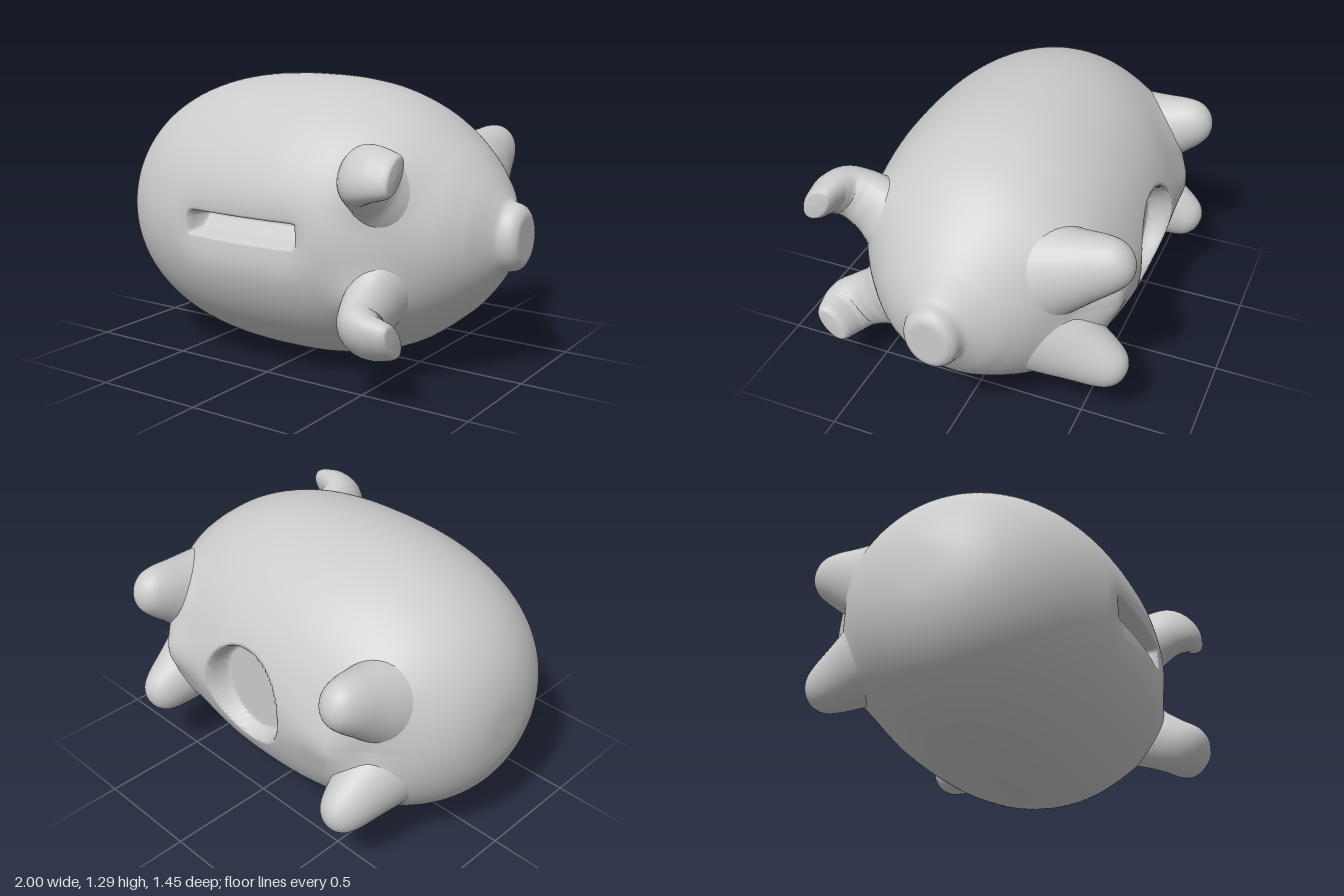
import * as THREE from 'three';
import { mergeVertices } from 'three/addons/utils/BufferGeometryUtils.js';

const MID = 0.645; // height of the body axis
const material = new THREE.MeshStandardMaterial({ color: 0xcccccc, roughness: 0.8 });
const step = THREE.MathUtils.smoothstep;
const band = (v, a, b, soft) => step(v, a - soft, a + soft) * (1 - step(v, b - soft, b + soft));

function smooth(geometry) {
  geometry.deleteAttribute('uv');
  geometry.deleteAttribute('normal');
  const merged = mergeVertices(geometry, 1e-5);
  merged.computeVertexNormals();
  return merged;
}

function part(name, geometry) {
  const mesh = new THREE.Mesh(geometry, material);
  mesh.name = name;
  return mesh;
}

// Body: full egg turned around x with snout, coin slot, plug recess and fillets
function bodyGeometry() {
  const profile = [];
  for (let i = 0; i < 12; i++) {
    const a = (i / 12) * Math.PI / 2;
    const e = 2 / 2.4; // superellipse, fuller than an ellipse
    profile.push(new THREE.Vector2(-0.05 - 0.95 * Math.cos(a) ** e, MID * Math.sin(a) ** e));
  }
  [[-0.05, 0.645], [0.15, 0.636], [0.35, 0.6], [0.55, 0.518], [0.735, 0.38], [0.83, 0.28],
    [0.9, 0.185], [0.922, 0.157], [0.95, 0.148], [0.975, 0.139], [0.992, 0.12], [1, 0.095], [1, 0]]
    .forEach(([x, r]) => profile.push(new THREE.Vector2(x, r)));
  const points = new THREE.SplineCurve(profile).getSpacedPoints(200)
    .map(p => new THREE.Vector2(Math.max(p.y, 0), Math.min(p.x, 1)));
  const geometry = new THREE.LatheGeometry(points, 220);
  const pos = geometry.attributes.position;
  for (let i = 0; i < pos.count; i++) {
    const x = pos.getY(i);
    const r = Math.hypot(pos.getX(i), pos.getZ(i));
    // crowd the vertices toward the slot and the plug
    const u = Math.atan2(pos.getX(i), pos.getZ(i));
    const phi = u - 0.3 * Math.sin(2 * u);
    const y = MID - r * Math.sin(phi);
    let z = r * Math.cos(phi) * (1 - 0.16 * step(x, 0.84, 0.95));
    const dy = Math.abs(y - MID);
    if (z > 0) {
      // ear fillets, soft hollow and coin slot that deepens toward its upper edge
      z += 0.06 * Math.exp(-(((x - 0.53) ** 2 + (dy - 0.27) ** 2) / 0.0145));
      z -= 0.028 * Math.exp(-((dy / 0.11) ** 2)) * band(x, -0.36, 0.26, 0.1);
      z -= (0.06 + 0.06 * step(y, 0.62, 0.7)) * band(x, -0.33, 0.22, 0.014) * band(y, 0.622, 0.71, 0.016);
    } else {
      // ridge between the legs, leg fillets and round plug recess
      const ridge = 0.9 * Math.exp(-((dy / 0.12) ** 2)) * band(x, -0.62, 0.52, 0.09);
      z = THREE.MathUtils.lerp(z, Math.min(z, -0.648), ridge);
      for (const lx of [-0.65, 0.55]) {
        z -= 0.06 * Math.exp(-(((x - lx) ** 2 + (dy - 0.24) ** 2) / 0.02));
      }
      const hole = 1 - step(Math.hypot(x + 0.05, y - MID), 0.2, 0.235);
      z = THREE.MathUtils.lerp(z, -0.54, hole);
    }
    pos.setXYZ(i, x, y, z);
  }
  return smooth(geometry);
}

// Leg: flared rounded cone with its tip at the origin, pointing along +y
function legGeometry() {
  const curve = new THREE.SplineCurve([[0.23, -0.42], [0.19, -0.3], [0.155, -0.2], [0.122, -0.1],
    [0.09, -0.04], [0.045, -0.008], [0, 0]].map(p => new THREE.Vector2(...p)));
  return smooth(new THREE.LatheGeometry(curve.getPoints(24), 36));
}

// Ear: bent loft of oval sections, mirrored by side (+1 upper, -1 lower)
function earGeometry(side) {
  // x, height from axis, z, long half width, short half width
  const sections = [[0.52, 0.21, 0.38, 0.19, 0.15], [0.525, 0.255, 0.46, 0.155, 0.115],
    [0.535, 0.295, 0.545, 0.14, 0.1], [0.565, 0.318, 0.605, 0.135, 0.095],
    [0.62, 0.33, 0.63, 0.125, 0.082], [0.67, 0.332, 0.635, 0.112, 0.07],
    [0.71, 0.332, 0.637, 0.1, 0.06], [0.732, 0.332, 0.637, 0.085, 0.045], [0.737, 0.332, 0.637, 0, 0]];
  const path = new THREE.CatmullRomCurve3(sections.map(s => new THREE.Vector3(s[0], s[1], s[2])));
  const widths = new THREE.CatmullRomCurve3(sections.map(s => new THREE.Vector3(s[3], s[4], 0)));
  const long = new THREE.Vector3(0, 0.78, -0.62);
  const rings = 40, around = 36, positions = [], index = [];
  for (let i = 0; i <= rings; i++) {
    const t = i / rings;
    const c = path.getPoint(t), w = widths.getPoint(t);
    const short = new THREE.Vector3().crossVectors(path.getTangent(t), long).normalize();
    for (let j = 0; j < around; j++) {
      const a = (j / around) * Math.PI * 2;
      const p = c.clone().addScaledVector(long, w.x * Math.cos(a)).addScaledVector(short, w.y * Math.sin(a));
      positions.push(p.x, MID + side * p.y, p.z);
      if (i === rings) continue;
      const k = (j + 1) % around;
      const q = [i * around + j, i * around + k, (i + 1) * around + k, (i + 1) * around + j];
      if (side < 0) q.reverse();
      index.push(q[0], q[1], q[2], q[0], q[2], q[3]);
    }
  }
  const geometry = new THREE.BufferGeometry();
  geometry.setAttribute('position', new THREE.Float32BufferAttribute(positions, 3));
  geometry.setIndex(index);
  return smooth(geometry);
}

export function createModel() {
  const group = new THREE.Group();
  group.name = 'piggyBank';
  group.add(part('body', bodyGeometry()));

  const leg = legGeometry();
  const up = new THREE.Vector3(0, 1, 0);
  for (const side of [1, -1]) {
    group.add(part(side > 0 ? 'upperEar' : 'lowerEar', earGeometry(side)));
    for (const x of [-0.65, 0.55]) {
      const mesh = part(x > 0 ? 'frontLeg' : 'hindLeg', leg);
      mesh.scale.x = 0.85;
      mesh.position.set(x, MID + side * 0.31, -0.71);
      mesh.quaternion.setFromUnitVectors(up, new THREE.Vector3(0, side * 0.4, -1).normalize());
      group.add(mesh);
    }
  }
  return group;
}
